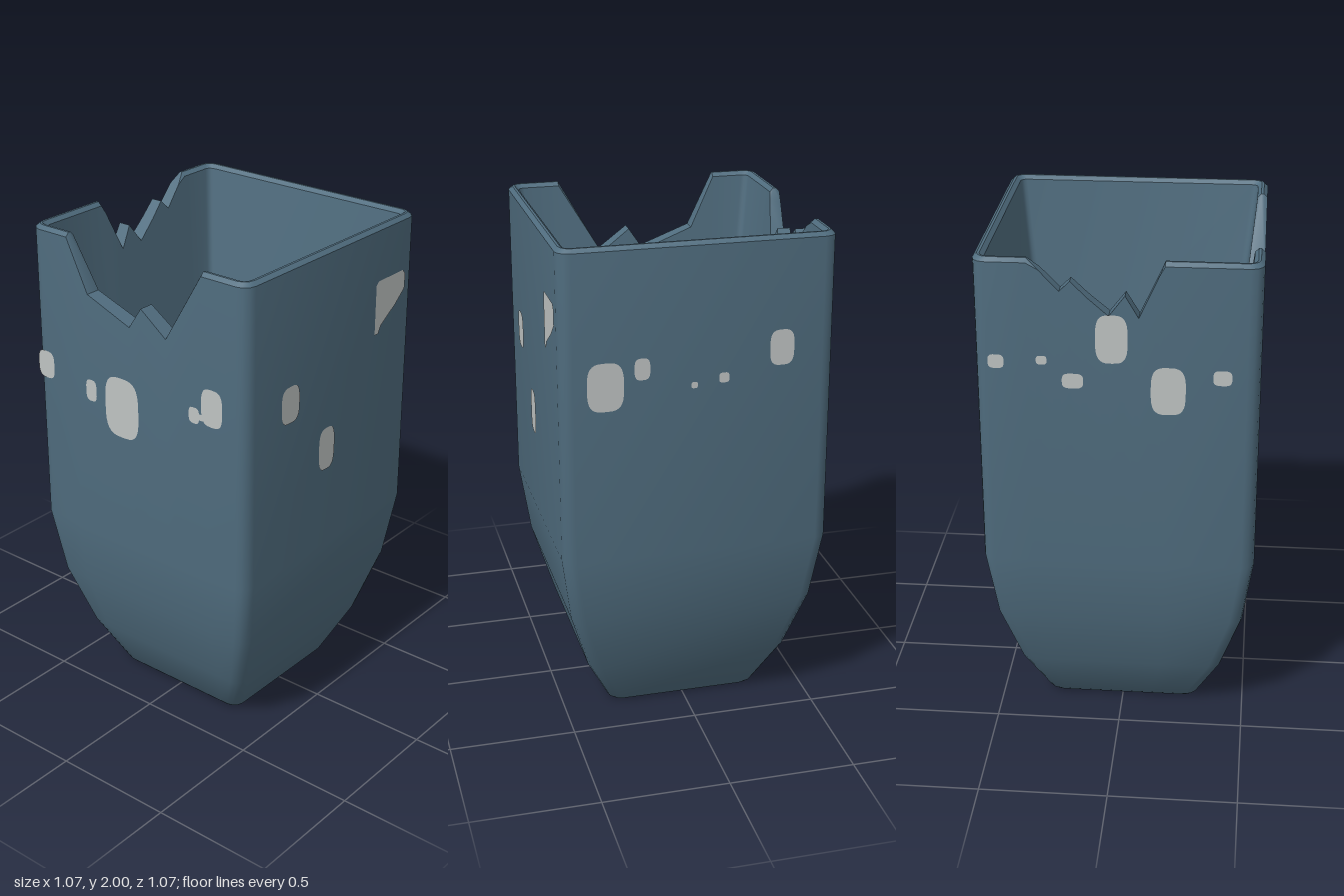
import * as THREE from 'three';
import { toCreasedNormals } from 'three/addons/utils/BufferGeometryUtils.js';

const H = 0.53; // half width of the pot

// Broken edges as [position along the side, height]
const frontBreak = [[-0.34, 2], [-0.24, 1.78], [-0.03, 1.7], [0.03, 1.79], [0.15, 1.7], [0.32, 2]];
const sideBreak = [[-0.33, 2], [-0.285, 1.96], [-0.21, 1.88], [-0.17, 1.92], [-0.11, 1.86],
  [-0.03, 1.79], [0.03, 1.87], [0.08, 1.785], [0.155, 1.95], [0.175, 2]];

// Perimeter stations, anticlockwise from above: side points, then the rounded corner
const stations = [];
[frontBreak, [], [], sideBreak].forEach((points, side) => {
  for (const [u, top] of points) stations.push({ side, u, top });
  for (let i = 0; i <= 3; i++) stations.push({ side, angle: i * Math.PI / 6, top: 2 });
});

// Point of a rounded square of half width h at one station
function place(s, h, y, radius) {
  let a, b;
  if (s.angle === undefined) {
    a = s.u * Math.min(1, h / 0.45);
    b = h;
  } else {
    const r = Math.min(radius, h * 0.15);
    a = h - r + r * Math.sin(s.angle);
    b = h - r + r * Math.cos(s.angle);
  }
  return [[a, y, b], [b, y, -a], [-a, y, -b], [-b, y, a]][s.side];
}

// Each row maps a station to [half width, height, corner radius]
function loft(rows) {
  const n = stations.length, positions = [], index = [];
  for (const row of rows) for (const s of stations) positions.push(...place(s, ...row(s)));
  for (let j = 0; j < rows.length - 1; j++) {
    for (let i = 0; i < n; i++) {
      const a = j * n + i, b = j * n + (i + 1) % n;
      index.push(a, b, b + n, a, b + n, a + n);
    }
  }
  const g = new THREE.BufferGeometry();
  g.setAttribute('position', new THREE.Float32BufferAttribute(positions, 3));
  g.setIndex(index);
  return toCreasedNormals(g, 0.6);
}

const innerHalf = (y) => 0.49 - 0.1 * (2 - y);
const bevel = (s) => (s.top < 2 ? 0 : 0.015); // broken parts have no rounded rim

// Soft-cornered spot outline
function spotShape(w, h) {
  const pts = [];
  for (let i = 0; i < 32; i++) {
    const t = i / 32 * Math.PI * 2, c = Math.cos(t), s = Math.sin(t);
    pts.push(new THREE.Vector2(
      Math.sign(c) * Math.abs(c) ** 0.6 * w / 2,
      Math.sign(s) * Math.abs(s) ** 0.6 * h / 2));
  }
  return new THREE.Shape(pts);
}

export function createModel() {
  const group = new THREE.Group();
  const glaze = new THREE.MeshStandardMaterial({ color: 0x506d7f });
  const pale = new THREE.MeshStandardMaterial({ color: 0xbfc3c2 });
  const dark = new THREE.MeshStandardMaterial({ color: 0x0b0b0b });

  const add = (name, geometry, material, parent = group) => {
    const mesh = new THREE.Mesh(geometry, material);
    mesh.name = name;
    parent.add(mesh);
    return mesh;
  };

  // Base, tapering foot, outer wall, rim and inner wall in one loft
  const outer = [[0, 0], [0.295, 0], [0.31, 0.015], [0.41, 0.22], [0.49, 0.48], [H, 0.76]];
  add('potWall', loft([
    ...outer.map(([h, y]) => () => [h, y, 0.05]),
    (s) => [H, s.top - bevel(s), 0.05],
    (s) => [H - bevel(s), s.top, 0.045],
    (s) => [innerHalf(s.top) + bevel(s), s.top, 0.03],
    (s) => [innerHalf(s.top), s.top - bevel(s), 0.025],
    () => [innerHalf(1.05), 1.05, 0.025],
  ]), glaze);

  // Dark lower lining and floor
  const lining = [[innerHalf(1.05), 1.05], [0.37, 0.8], [0.35, 0.76], [0.32, 0.75], [0, 0.75]];
  add('darkInterior', loft(lining.map(([h, y]) => () => [h, y, 0.025])), dark);

  // Chipped spots per side: [across, height, width, tall]; across runs left to right facing the side
  const spots = [
    ['front', [[-0.475, 1.43, 0.085, 0.115], [-0.235, 1.385, 0.055, 0.09], [-0.077, 1.355, 0.17, 0.25],
      [0.285, 1.435, 0.05, 0.065], [0.315, 1.435, 0.05, 0.025], [0.37, 1.485, 0.1, 0.15]]],
    ['right', [[-0.27, 1.455, 0.11, 0.15], [-0.033, 1.185, 0.1, 0.18]]],
    ['back', [[-0.36, 1.47, 0.14, 0.19], [-0.22, 1.53, 0.06, 0.085], [-0.02, 1.45, 0.025, 0.025],
      [0.095, 1.47, 0.04, 0.04], [0.32, 1.57, 0.095, 0.14]]],
    ['left', [[-0.45, 1.6, 0.06, 0.055], [-0.28, 1.61, 0.04, 0.035], [-0.165, 1.53, 0.08, 0.06],
      [-0.02, 1.7, 0.12, 0.19], [0.19, 1.5, 0.13, 0.19], [0.39, 1.56, 0.07, 0.06]]],
  ];
  spots.forEach(([side, list], k) => {
    const face = new THREE.Group();
    face.name = ['front', 'plusX', 'back', 'minusX'][k] + 'Spots';
    face.rotation.y = k * Math.PI / 2;
    group.add(face);
    for (const [u, y, w, h] of list) {
      add('chippedSpot', new THREE.ShapeGeometry(spotShape(w, h)), pale, face).position.set(u, y, H + 0.003);
    }
    // Large tapered chip near the rim
    if (side === 'right') {
      const outline = [[0.265, 1.56], [0.29, 1.56], [0.305, 1.59], [0.4, 1.65], [0.46, 1.7], [0.462, 1.76],
        [0.445, 1.78], [0.28, 1.78], [0.265, 1.765]].map(([x, yy]) => new THREE.Vector2(x, yy));
      add('largeChip', new THREE.ShapeGeometry(new THREE.Shape(outline)), pale, face).position.z = H + 0.003;
    }
  });
  return group;
}
